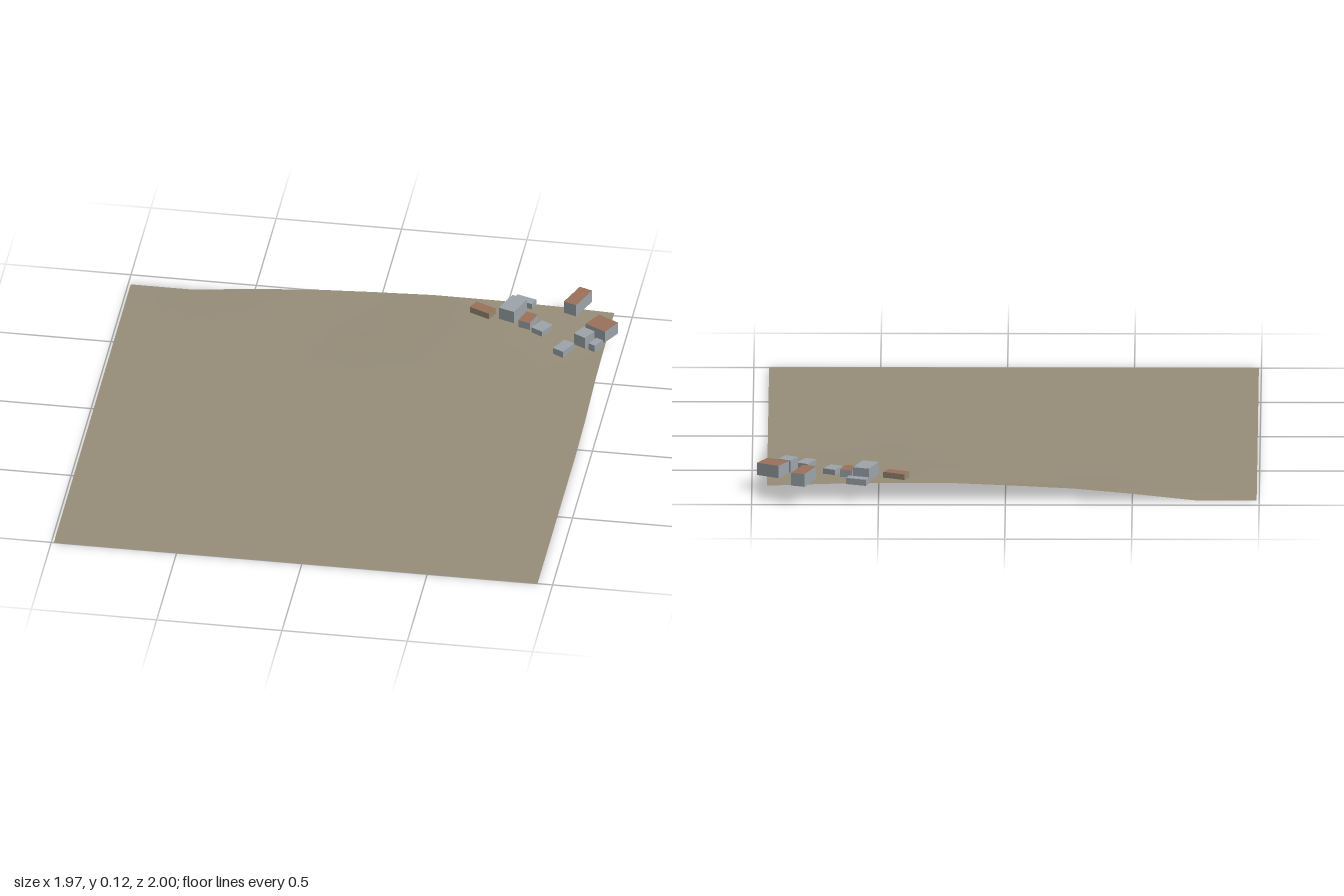
import * as THREE from 'three';

const paint = (name, color) => Object.assign(new THREE.MeshStandardMaterial({ color }), { name });

export function createModel() {
  const group = new THREE.Group();
  group.name = 'hillsideVillage';
  const earth = paint('earth', 0x968d79);
  earth.side = THREE.DoubleSide;
  const stone = paint('greyStone', 0x9ca4a9);
  const clay = paint('clayRoof', 0x99705a);
  const sand = paint('sandWall', 0x978a74);

  // Ground sheet: heights of the raised rows, from the back edge forward
  const rows = [
    [0, 0, 0.026, 0.048, 0.06, 0.07, 0.07, 0.066, 0.058],
    [0, 0, 0, 0.003, 0.012, 0.056, 0.06, 0.06, 0.054],
    [0, 0, 0, 0, 0, 0.003, 0.028, 0.034, 0.044],
    [0, 0, 0, 0, 0, 0, 0, 0.003, 0.014],
  ];
  const land = new THREE.PlaneGeometry(1.93, 1.93, 8, 8);
  land.rotateX(-Math.PI / 2);
  land.translate(-0.025, 0, 0.035);
  rows.forEach((row, r) => row.forEach((y, c) => land.attributes.position.setY(r * 9 + c, y)));
  land.computeVertexNormals();
  const ground = new THREE.Mesh(land, earth);
  ground.name = 'ground';
  group.add(ground);

  // Block houses: x, z, width, depth, bottom, top, clockwise turn in degrees, roof, wall
  const houses = [
    [0.43, -0.837, 0.092, 0.048, 0.064, 0.09, 25, clay, sand],
    [0.583, -0.925, 0.083, 0.038, 0.065, 0.09, 19, stone, stone],
    [0.55, -0.84, 0.067, 0.108, 0.068, 0.12, 20, stone, stone],
    [0.618, -0.79, 0.05, 0.072, 0.06, 0.093, 17, clay, stone],
    [0.68, -0.75, 0.054, 0.067, 0.06, 0.084, 29, stone, stone],
    [0.795, -0.928, 0.056, 0.126, 0.072, 0.124, 21, clay, stone],
    [0.916, -0.767, 0.097, 0.085, 0.06, 0.11, 29, clay, stone],
    [0.857, -0.695, 0.055, 0.062, 0.056, 0.106, 29, stone, stone],
    [0.907, -0.668, 0.031, 0.052, 0.054, 0.084, 29, stone, stone],
    [0.785, -0.632, 0.048, 0.077, 0.048, 0.076, 27, stone, stone],
  ];
  houses.forEach(([x, z, w, d, y0, y1, turn, roof, wall], i) => {
    const house = new THREE.Mesh(
      new THREE.BoxGeometry(w, y1 - y0, d),
      [wall, wall, roof, wall, wall, wall],
    );
    house.name = `house${i + 1}`;
    house.position.set(x, (y0 + y1) / 2, z);
    house.rotation.y = -THREE.MathUtils.degToRad(turn);
    group.add(house);
  });
  return group;
}
